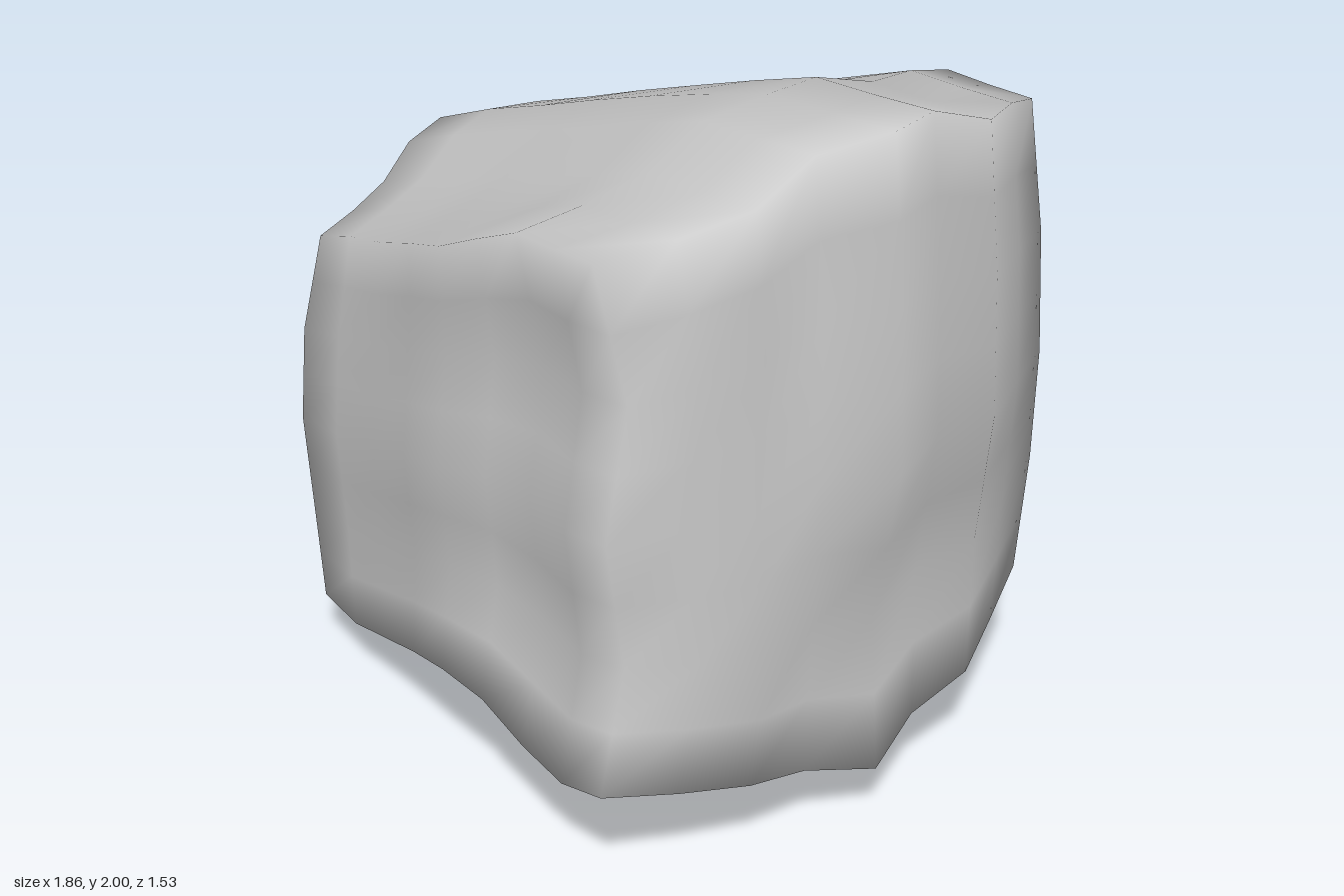
import * as THREE from 'three';
import { mergeVertices } from 'three/addons/utils/BufferGeometryUtils.js';

// piecewise-linear lookup of evenly spaced samples, t in -1..1
function sample(list, t) {
  const f = Math.min(Math.max((t + 1) / 2, 0), 1) * (list.length - 1);
  const i = Math.min(Math.floor(f), list.length - 2);
  return THREE.MathUtils.lerp(list[i], list[i + 1], f - i);
}

// the same across rows of samples: s picks between rows, t runs along them
const sampleRows = (rows, s, t) => sample(rows.map((row) => sample(row, t)), s);

// height profiles along x, and how far they fall away along z
const TOP = [1.43, 1.53, 1.615, 1.705, 1.79, 1.87, 1.945, 1.97, 2.0];
const TOP_DROP = [0.23, 0.15, 0.1, 0.025, 0, 0.03, 0.11, 0.15, 0.18];
const FRONT_DROP_SCALE = [0.7, 0.95, 1.05, 1, 1];
const BOTTOM = [0, 0.01, 0.07, 0.14, 0.2, 0.2, 0.15, 0.14, 0.2];
const BOTTOM_RISE = [ // rows: -x, +x
  [0.17, 0.14, 0.1, 0.03, 0, 0, 0.08, 0.13, 0.18],
  [0.21, 0.16, 0.12, 0.06, 0, 0.05, 0.1, 0.14, 0.18],
];

// end faces: reach along z, then scales by height (rows run back to front)
const END_POS = [0.71, 0.8, 0.89, 0.87, 0.925, 0.85, 0.85, 0.79, 0.71];
const END_POS_SCALE = [
  [0.95, 0.96, 1, 0.97, 0.87],
  [0.95, 0.94, 1, 0.98, 0.92],
  [0.95, 0.915, 1, 0.98, 0.93],
  [0.96, 0.99, 0.96, 0.94, 0.92],
  [0.97, 0.99, 0.97, 0.99, 0.89],
];
const END_NEG = [0.76, 0.8, 0.86, 0.9, 0.93, 0.9, 0.84, 0.8, 0.77];
const END_NEG_SCALE = [0.95, 0.98, 1, 0.97, 0.915];

// front and back faces: reach along x, then scales by height (rows: -x, middle, +x)
const FRONT = [0.55, 0.61, 0.69, 0.7, 0.73];
const FRONT_SCALE = [
  [1.0, 1.01, 1.03, 1.02, 0.95],
  [1.03, 0.98, 1.02, 0.97, 0.98],
  [1.05, 0.96, 1.02, 0.94, 1],
];
const BACK = [0.59, 0.61, 0.65, 0.76, 0.74];
const BACK_SCALE = [0.97, 1.01, 0.98, 0.98, 1];

function rockPoint(u, v, w) {
  const dropScale = w > 0 ? sample(FRONT_DROP_SCALE, u) : 0.8 + 0.2 * u;
  const top = sample(TOP, u) - sample(TOP_DROP, w) * dropScale;
  const bottom = sample(BOTTOM, u) + sampleRows(BOTTOM_RISE, u, w);
  const x = u > 0
    ? u * sample(END_POS, w) * sampleRows(END_POS_SCALE, w, v)
    : u * sample(END_NEG, w) * sample(END_NEG_SCALE, v);
  let z = w > 0
    ? w * sample(FRONT, u) * sampleRows(FRONT_SCALE, u, v)
    : w * sample(BACK, u) * sample(BACK_SCALE, v);
  // upright hollow in the front face
  if (w > 0) z -= 0.03 * w * Math.exp(-((u - 0.4) ** 2) / 0.05) * (1 - v * v);
  return [x, THREE.MathUtils.lerp(bottom, top, (v + 1) / 2), z];
}

export function createModel() {
  const group = new THREE.Group();
  group.name = 'boulder';

  // welded grid box pushed into an uneven stone block
  const box = new THREE.BoxGeometry(2, 2, 2, 8, 8, 8);
  box.deleteAttribute('normal');
  box.deleteAttribute('uv');
  const geometry = mergeVertices(box, 1e-4);
  geometry.clearGroups();
  const pos = geometry.attributes.position;
  for (let i = 0; i < pos.count; i++) {
    pos.setXYZ(i, ...rockPoint(pos.getX(i), pos.getY(i), pos.getZ(i)));
  }
  geometry.computeVertexNormals();

  const rock = new THREE.Mesh(geometry, new THREE.MeshStandardMaterial({ color: 0xcccccc }));
  rock.name = 'rock';
  group.add(rock);
  return group;
}
